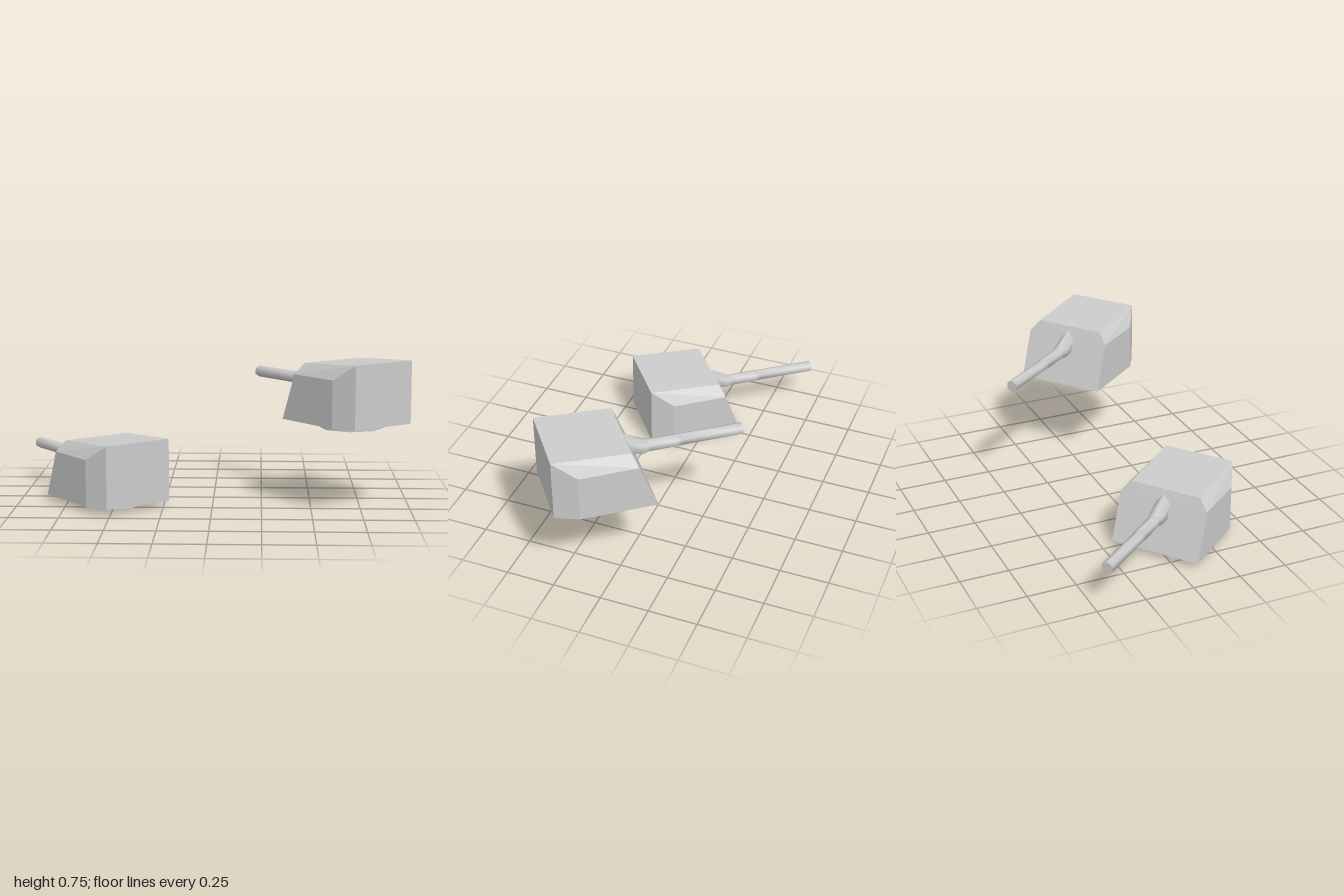
import * as THREE from 'three';
import { ConvexGeometry } from 'three/addons/geometries/ConvexGeometry.js';

const grey = new THREE.MeshStandardMaterial({ color: 0xcccccc });
const flat = new THREE.MeshStandardMaterial({ color: 0xcccccc, flatShading: true });
const thin = new THREE.MeshStandardMaterial({ color: 0xcccccc, side: THREE.DoubleSide });

function part(name, geometry, material) {
  const mesh = new THREE.Mesh(geometry, material);
  mesh.name = name;
  return mesh;
}

// Skin over six-sided sections running toward -z: [z, centreY, radiusX, radiusY]
function loft(sections, sides = 6) {
  const pos = [], index = [];
  sections.forEach(([z, y, rx, ry], i) => {
    for (let k = 0; k < sides; k++) {
      const a = Math.PI / 2 + (k / sides) * Math.PI * 2;
      pos.push(Math.cos(a) * rx, y + Math.sin(a) * ry, z);
      if (i === sections.length - 1) continue;
      const p = i * sides + k, q = i * sides + ((k + 1) % sides);
      index.push(p, p + sides, q, q, p + sides, q + sides);
    }
  });
  const g = new THREE.BufferGeometry();
  g.setAttribute('position', new THREE.Float32BufferAttribute(pos, 3));
  g.setIndex(index);
  g.computeVertexNormals();
  return g;
}

// One turret, gun toward its own -z, ring centred on the origin
function makeTurret(name) {
  const turret = new THREE.Group();
  turret.name = name;

  // Armoured housing: right-half corners, mirrored
  const corners = [
    [0.187, 0.03, 0.238], [0.187, 0.35, 0.238],     // rear plate
    [0.235, 0.03, 0.122], [0.235, 0.27, 0.122],     // rear end of the side plate
    [0.235, 0.03, -0.262], [0.235, 0.27, -0.17],    // front end of the side plate
    [0.187, 0.327, -0.148],                         // front end of the roof
  ];
  const points = corners.flatMap(([x, y, z]) =>
    [new THREE.Vector3(x, y, z), new THREE.Vector3(-x, y, z)]);
  turret.add(part('housing', new ConvexGeometry(points), flat));

  // Open eight-sided turning ring
  const ring = part('turningRing', new THREE.CylinderGeometry(0.165, 0.165, 0.032, 8, 1, true), thin);
  ring.position.y = 0.016;
  turret.add(ring);

  // Gun collar sinking into the sloped front plate
  turret.add(part('gunCollar', loft([
    [-0.13, 0.25, 0.04, 0.07],
    [-0.19, 0.228, 0.043, 0.058],
    [-0.245, 0.212, 0.042, 0.042],
    [-0.275, 0.21, 0.033, 0.033],
  ]), grey));

  // Barrel with a flat muzzle
  turret.add(part('barrel', loft([
    [-0.2, 0.21, 0.033, 0.033],
    [-0.42, 0.21, 0.033, 0.033],
    [-0.45, 0.21, 0.031, 0.031],
    [-0.754, 0.21, 0.031, 0.031],
  ]), grey));
  const muzzle = part('muzzle', new THREE.CircleGeometry(0.031, 6, Math.PI / 2), grey);
  muzzle.rotation.y = Math.PI;
  muzzle.position.set(0, 0.21, -0.754);
  turret.add(muzzle);

  turret.rotation.y = 0.665;
  return turret;
}

export function createModel() {
  const model = new THREE.Group();
  model.name = 'turretPair';
  const right = makeTurret('rightLowerTurret');
  right.position.set(-0.515, 0, 0.153);
  const left = makeTurret('leftUpperTurret');
  left.position.set(0.703, 0.404, 0.153);
  model.add(right, left);
  return model;
}
